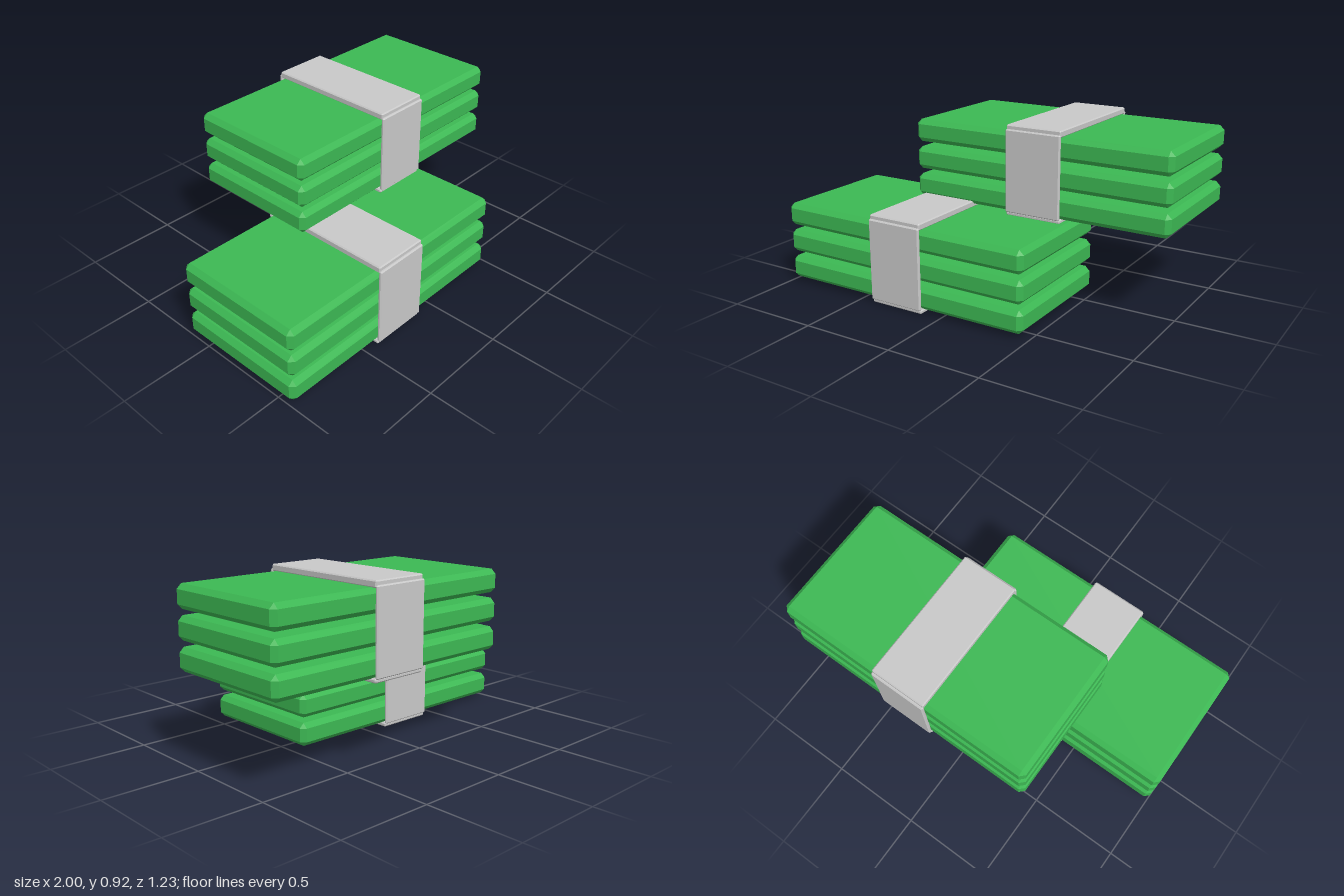
import * as THREE from 'three';
import { ConvexGeometry } from 'three/addons/geometries/ConvexGeometry.js';

const green = new THREE.MeshStandardMaterial({ color: 0x3cb853 });
green.name = 'note green';
const grey = new THREE.MeshStandardMaterial({ color: 0xc8c8c8 });
grey.name = 'band grey';

// Box with every edge cut by a flat bevel
function bevelBox(w, h, d, b) {
  const points = [];
  for (const sx of [-1, 1]) for (const sy of [-1, 1]) for (const sz of [-1, 1]) {
    for (let full = 0; full < 3; full++) {
      points.push(new THREE.Vector3(
        sx * (w / 2 - (full === 0 ? 0 : b)),
        sy * (h / 2 - (full === 1 ? 0 : b)),
        sz * (d / 2 - (full === 2 ? 0 : b))));
    }
  }
  return new ConvexGeometry(points);
}

function addPart(group, name, geometry, material, y, z = 0) {
  const mesh = new THREE.Mesh(geometry, material);
  mesh.name = name;
  mesh.position.set(0, y, z);
  group.add(mesh);
}

// Three slabs held by a paper band
function createBundle(name) {
  const bundle = new THREE.Group();
  bundle.name = name;

  const slab = bevelBox(1.47, 0.122, 0.74, 0.025);
  for (let i = 0; i < 3; i++) addPart(bundle, 'noteSlab', slab, green, 0.081 + i * 0.151);

  // Band: top, bottom and two side strips
  const width = 0.312;
  addPart(bundle, 'bandTop', bevelBox(width, 0.036, 0.75, 0.006), grey, 0.46);
  addPart(bundle, 'bandBottom', bevelBox(width, 0.022, 0.75, 0.006), grey, 0.011);
  const side = bevelBox(width, 0.436, 0.02, 0.006);
  for (const s of [-1, 1]) addPart(bundle, 'bandSide', side, grey, 0.238, s * 0.377);
  return bundle;
}

export function createModel() {
  const model = new THREE.Group();
  model.name = 'bundleStack';

  const lower = createBundle('lowerBundle');
  lower.position.set(-0.265, 0, 0.229);
  const upper = createBundle('upperBundle');
  upper.position.set(0.265, 0.44, -0.229);
  model.add(lower, upper);
  return model;
}
